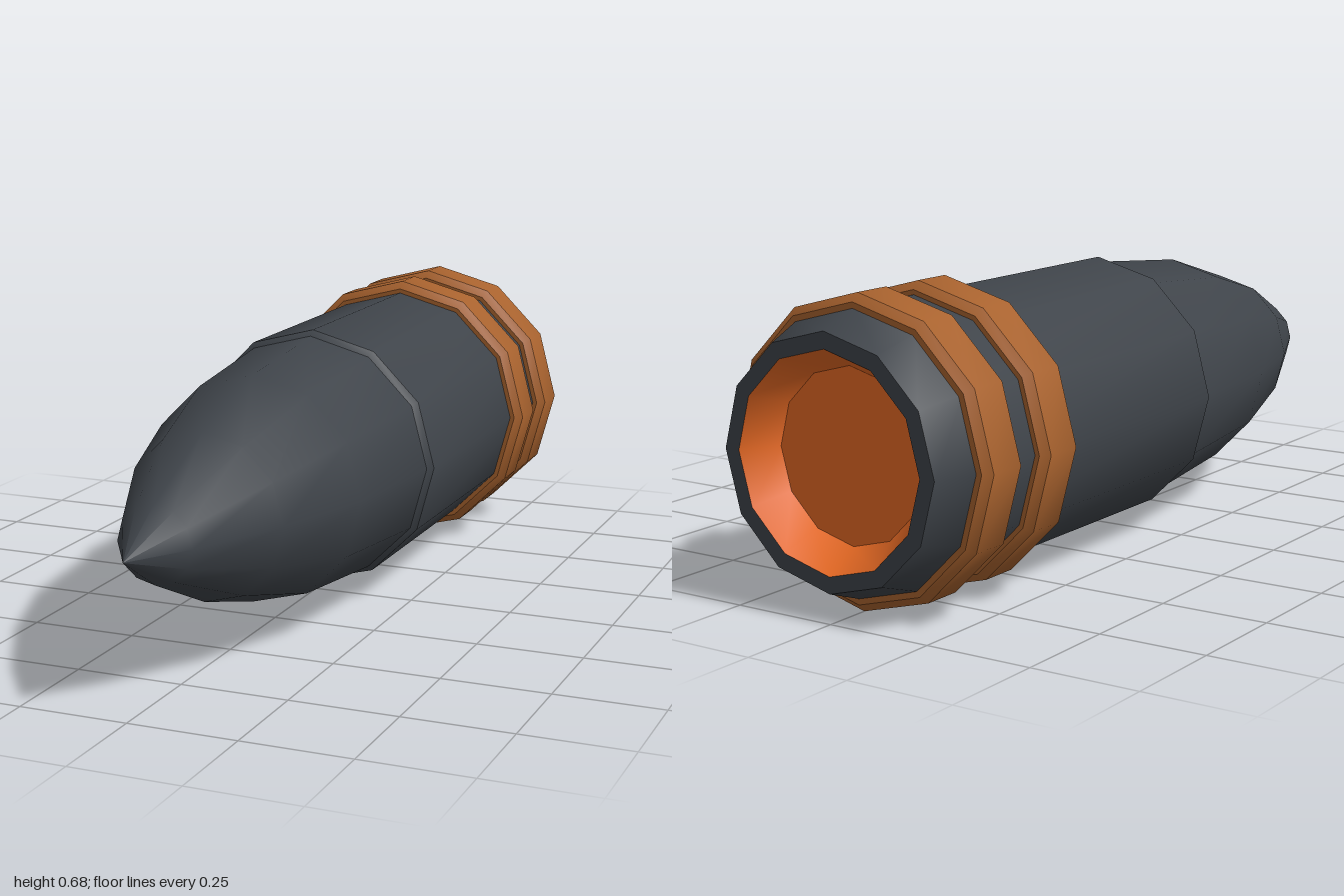
import * as THREE from 'three';
import { toCreasedNormals } from 'three/addons/utils/BufferGeometryUtils.js';

const SIDES = 12;

export function createModel() {
  const model = new THREE.Group();
  model.name = 'projectile';

  const material = (name, color) => {
    const m = new THREE.MeshStandardMaterial({ color });
    m.name = name;
    return m;
  };
  const steel = material('dark steel', 0x3f444a);
  const copper = material('copper', 0xa8622e);
  const orange = material('glowing orange', 0xe86a24);

  // Turns a profile of [radius, z] pairs, listed back to front, about the long axis
  const turned = (name, profile, mat) => {
    const points = profile.map(([r, z]) => new THREE.Vector2(r, z));
    const lathe = new THREE.LatheGeometry(points, SIDES).rotateX(Math.PI / 2);
    const mesh = new THREE.Mesh(toCreasedNormals(lathe, 0.6), mat);
    mesh.name = name;
    mesh.position.y = 0.34;
    model.add(mesh);
  };

  // Pointed nose
  turned('nose', [[0.298, 0.03], [0.265, 0.37], [0.19, 0.63], [0.087, 0.86], [0, 1]], steel);

  // Straight body with a small bevelled shoulder behind the nose
  turned('body', [[0.311, -0.9], [0.311, 0.02], [0.298, 0.035]], steel);

  // Tapered tail and its flat rim
  turned('tail', [[0.275, -1], [0.311, -0.9]], steel);
  turned('tailRim', [[0.238, -1], [0.275, -1]], steel);

  // Hollow base
  turned('baseRecess', [[0, -0.92], [0.192, -0.92], [0.238, -1]], orange);

  // Two bevelled driving bands
  for (const [name, z] of [['frontBand', -0.64], ['rearBand', -0.843]]) {
    turned(name, [
      [0.3, z - 0.064], [0.322, z - 0.064], [0.34, z - 0.047],
      [0.34, z + 0.047], [0.322, z + 0.064], [0.3, z + 0.064],
    ], copper);
  }

  return model;
}
